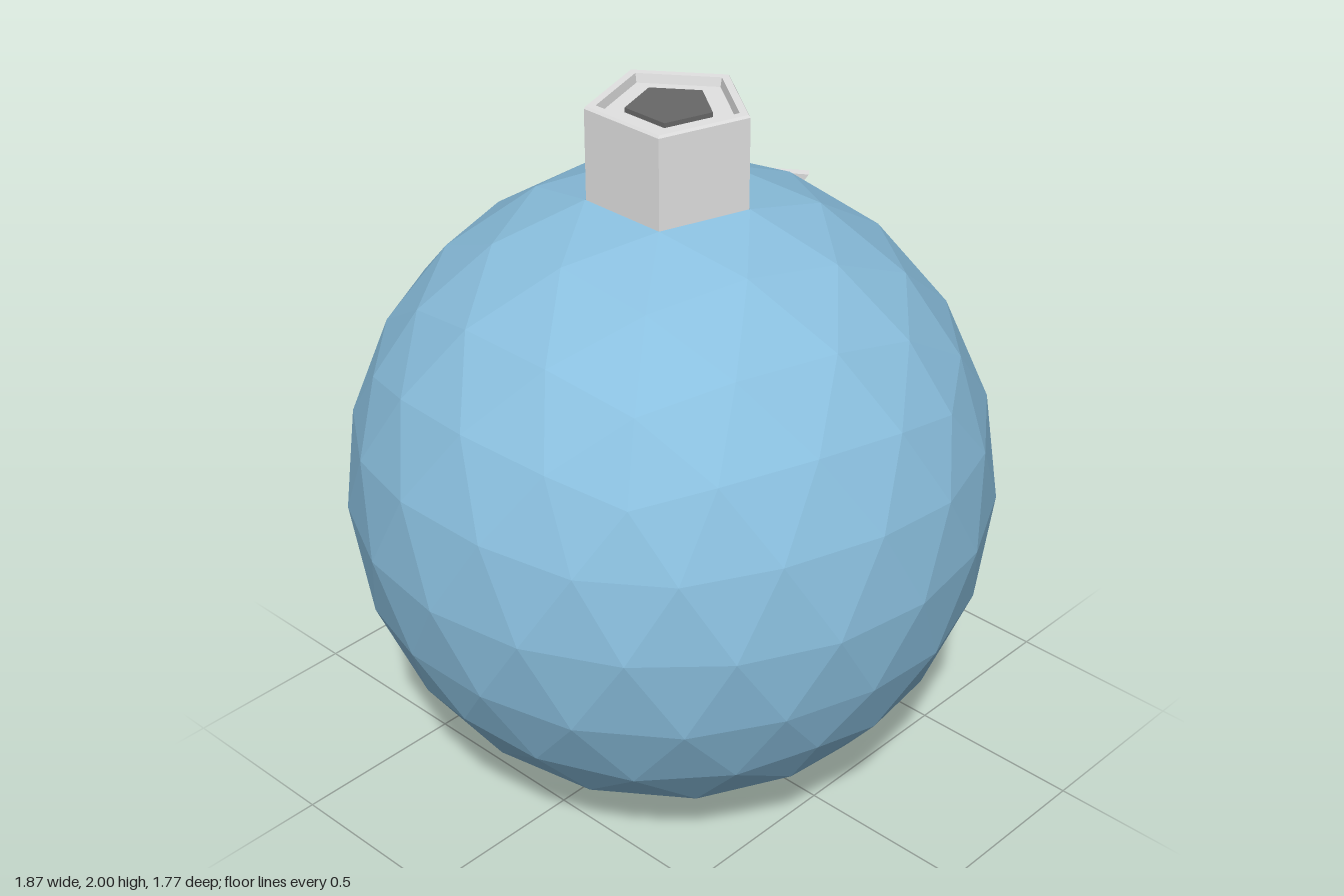
import * as THREE from 'three';

const mat = (name, color, side = THREE.FrontSide) => {
  const m = new THREE.MeshStandardMaterial({ color, side });
  m.name = name;
  return m;
};
const V = (x, y, z) => new THREE.Vector3(x, y, z);

// Faceted geometry from a list of triangles
function fromTriangles(tris) {
  const g = new THREE.BufferGeometry().setFromPoints(tris.flat());
  g.computeVertexNormals();
  return g;
}
const quad = (a, b, c, d) => [[a, b, c], [a, c, d]];

function mesh(name, geometry, material) {
  const m = new THREE.Mesh(geometry, material);
  m.name = name;
  return m;
}

// Icosphere shell with the pole pentagon and a broken patch left open
function shellGeometry(R, inner) {
  const N = 4, h = Math.sqrt(0.2), w = 2 * h;
  const ring = (deg, y) => V(w * Math.cos(deg * Math.PI / 180), y, -w * Math.sin(deg * Math.PI / 180));
  const P = V(0, 1, 0), S = V(0, -1, 0);
  const U = k => ring(72 * k, h), L = k => ring(72 * k + 36, -h);
  const missing = {
    top0: ['3,0,up', '2,0,down', '2,1,up'],
    mid0: ['0,0,up', '0,0,down', '0,1,up', '0,1,down', '1,1,up', '0,2,up'],
  };
  const faces = [];
  for (let k = 0; k < 5; k++) {
    faces.push(['top' + k, P, U(k), U(k + 1)], ['mid' + k, U(k), L(k), U(k + 1)],
      ['low' + k, L(k), L(k + 1), U(k + 1)], ['base' + k, S, L(k + 1), L(k)]);
  }
  const outer = [];
  for (const [id, A, B, C] of faces) {
    const p = (i, j) => V(0, 0, 0).addScaledVector(A, N - i - j).addScaledVector(B, i)
      .addScaledVector(C, j).normalize().multiplyScalar(R);
    const add = (i, j, kind, tri) => {
      const key = `${i},${j},${kind}`;
      const pole = id.startsWith('top') && key === '0,0,up';
      if (!pole && !(missing[id] || []).includes(key)) outer.push(tri);
    };
    for (let i = 0; i < N; i++) for (let j = 0; i + j < N; j++) {
      add(i, j, 'up', [p(i, j), p(i + 1, j), p(i, j + 1)]);
      if (i + j < N - 1) add(i, j, 'down', [p(i + 1, j), p(i + 1, j + 1), p(i, j + 1)]);
    }
  }
  // Inner wall, then a rim along every open edge
  const shrink = v => v.clone().multiplyScalar(inner);
  const tris = [...outer, ...outer.map(([a, b, c]) => [shrink(a), shrink(c), shrink(b)])];
  const key = v => v.toArray().map(n => Math.round(n * 1000) + 0).join(',');
  const edges = new Map();
  for (const t of outer) t.forEach((a, i) => edges.set(key(a) + '|' + key(t[(i + 1) % 3]), [a, t[(i + 1) % 3]]));
  for (const [a, b] of edges.values()) {
    if (!edges.has(key(b) + '|' + key(a))) tris.push(...quad(b, a, shrink(a), shrink(b)));
  }
  return fromTriangles(tris);
}

// Five-sided turned shape with a corner pointing to +x
function pentagonLathe(profile) {
  const pts = profile.map(([x, y]) => new THREE.Vector2(x, y));
  const g = new THREE.LatheGeometry(pts, 5, Math.PI / 2).toNonIndexed();
  g.computeVertexNormals();
  return g;
}

export function createModel() {
  const blue = mat('glass blue', 0x8abfde);
  const grey = mat('light grey', 0xe2e2e2);
  const dark = mat('dark grey', 0x686868);
  const red = mat('dark red', 0xa81010);
  const purple = mat('purple', 0xa00888);
  const model = new THREE.Group();
  model.name = 'brokenBauble';
  const cx = -0.055, R = 0.885;

  const ball = mesh('ball', shellGeometry(R, 0.967), blue);
  ball.position.set(cx, R, 0);
  model.add(ball);

  // Cap with a shallow lip, and dark plugs above and below
  const cap = new THREE.Group();
  cap.name = 'cap';
  cap.position.x = cx;
  cap.add(
    mesh('capBody', pentagonLathe([[0, 1.74], [0.22, 1.74], [0.22, 1.993], [0.215, 2], [0.19, 2], [0.185, 1.975], [0, 1.975]]), grey),
    mesh('capTopPlug', pentagonLathe([[0, 1.97], [0.117, 1.97], [0.117, 1.988], [0, 1.988]]), dark),
    mesh('capBottomPlug', pentagonLathe([[0, 1.73], [0.117, 1.73], [0.117, 1.745], [0, 1.745]]), dark));
  model.add(cap);

  // Floating shard, sliced into coloured bands from top to tip
  const shard = new THREE.Group();
  shard.name = 'shard';
  const A = V(0.768, 1.34, -0.605), B = V(0.932, 1.337, -0.372), T = V(0.86, 1.095, -0.51);
  const back = v => v.clone().add(V(-0.022, 0, 0.017));
  const bands = [[0, 0.33, grey], [0.33, 0.53, purple], [0.53, 0.84, red], [0.84, 1, grey]];
  const plain = quad(back(A), back(B), B, A), edge = [];
  bands.forEach(([t0, t1, m], i) => {
    const a0 = A.clone().lerp(T, t0), a1 = A.clone().lerp(T, t1);
    const b0 = B.clone().lerp(T, t0), b1 = B.clone().lerp(T, t1);
    const face = [...quad(a0, b0, b1, a1), ...quad(b0, back(b0), back(b1), b1)];
    shard.add(mesh('shardBand' + (i + 1), fromTriangles(face), m));
    plain.push(...quad(back(b0), back(a0), back(a1), back(b1)));
    edge.push(...quad(back(a0), a0, a1, back(a1)));
  });
  shard.add(mesh('shardBack', fromTriangles(plain), grey), mesh('shardEdge', fromTriangles(edge), blue));

  // Small purple mark on the back of the shard
  const mark = (s, t) => back(A.clone().lerp(B, s).lerp(T, t)).add(V(-0.002, 0, 0.0015));
  shard.add(mesh('shardBackMark', fromTriangles(quad(mark(0.45, 0.35), mark(0.03, 0.35), mark(0.03, 0.5), mark(0.45, 0.5))), purple));
  model.add(shard);
  return model;
}
